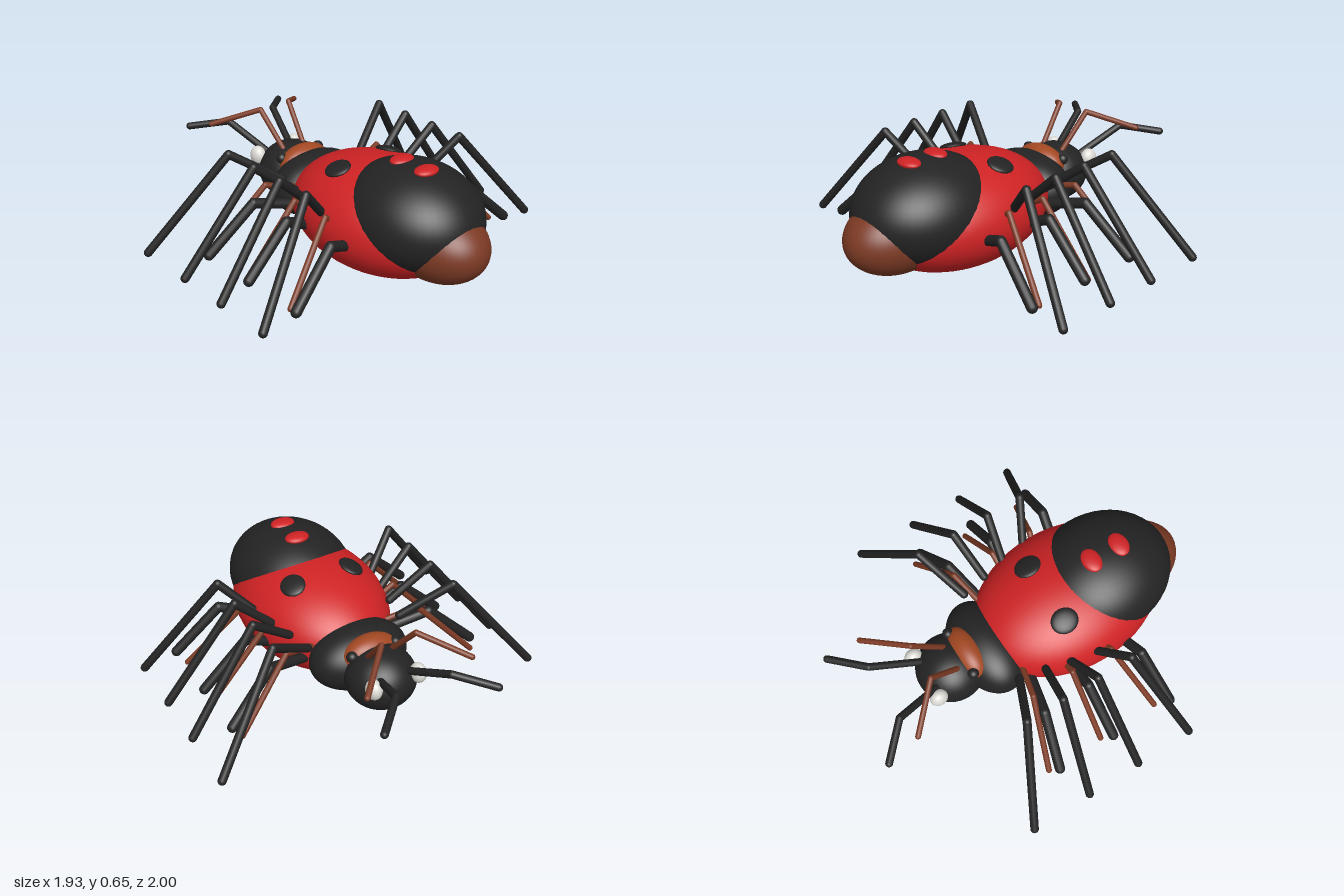
import * as THREE from 'three';

export function createModel() {
  const model = new THREE.Group();
  model.name = 'spottedBeetle';
  const mat = (name, color) => {
    const m = new THREE.MeshStandardMaterial({ color });
    m.name = name;
    return m;
  };
  const red = mat('red', 0xcf2224);
  const black = mat('black', 0x232323);
  const brown = mat('brown', 0x7c3a24);
  const rust = mat('rust', 0xa34822);
  const white = mat('white', 0xdedcd6);

  const ball = new THREE.SphereGeometry(1, 48, 32);
  const smallBall = new THREE.SphereGeometry(1, 24, 16);
  const up = new THREE.Vector3(0, 1, 0);

  function ellipsoid(name, material, center, radii, geometry = ball) {
    const mesh = new THREE.Mesh(geometry, material);
    mesh.name = name;
    mesh.position.set(...center);
    mesh.scale.set(...radii);
    model.add(mesh);
    return mesh;
  }

  // Jointed limb: one rounded capsule between each pair of points
  function limb(name, material, radius, points) {
    const group = new THREE.Group();
    group.name = name;
    const pts = points.map((p) => new THREE.Vector3(...p));
    for (let i = 0; i < pts.length - 1; i++) {
      const dir = pts[i + 1].clone().sub(pts[i]);
      const mesh = new THREE.Mesh(new THREE.CapsuleGeometry(radius, dir.length(), 6, 14), material);
      mesh.name = name + 'Segment';
      mesh.position.copy(pts[i]).addScaledVector(dir, 0.5);
      mesh.quaternion.setFromUnitVectors(up, dir.normalize());
      group.add(mesh);
    }
    model.add(group);
  }

  // Body, from the rear (+z) to the head (-z)
  ellipsoid('abdomenTip', brown, [0, 0.28, 0.7], [0.22, 0.2, 0.3]);
  ellipsoid('abdomenBack', black, [0, 0.36, 0.52], [0.34, 0.28, 0.4]);
  ellipsoid('abdomen', red, [0, 0.29, 0.3], [0.4, 0.29, 0.55]);
  ellipsoid('thorax', black, [0, 0.27, -0.22], [0.28, 0.18, 0.19]);
  ellipsoid('head', black, [0, 0.275, -0.44], [0.19, 0.165, 0.19]);
  ellipsoid('collar', rust, [0, 0.36, -0.333], [0.155, 0.1, 0.09]);

  // Red spots along the top
  for (const z of [0.44, 0.61]) {
    ellipsoid('redSpot', red, [0, 0.631, z], [0.07, 0.023, 0.052], smallBall);
  }

  for (const s of [-1, 1]) {
    const mirror = (points) => points.map(([x, y, z]) => [s * x, y, z]);

    // Black spot lying on the red shell
    const spot = ellipsoid('blackSpot', black, [s * 0.18, 0.54, 0.16], [0.068, 0.02, 0.075], smallBall);
    const normal = new THREE.Vector3((s * 0.18) / 0.16, 0.25 / 0.0841, -0.14 / 0.3025).normalize();
    spot.quaternion.setFromUnitVectors(up, normal);

    // Eyes and the small dark bumps beside the collar
    ellipsoid('eye', white, [s * 0.132, 0.345, -0.585], [0.042, 0.056, 0.05], smallBall);
    ellipsoid('collarBump', black, [s * 0.13, 0.4, -0.37], [0.03, 0.03, 0.03], smallBall);

    // Antennae
    limb('antenna', black, 0.02, mirror([[0.08, 0.36, -0.56], [0.16, 0.49, -0.82], [0.325, 0.455, -0.98]]));
    limb('feeler', brown, 0.015, mirror([[0.07, 0.42, -0.43], [0.1, 0.615, -0.59], [0.3, 0.52, -0.79]]));

    // Long legs: hip x, hip z, knee z, foot z
    for (const [x, hz, kz, fz] of [
      [0.28, -0.18, -0.295, -0.5],
      [0.31, -0.035, -0.08, -0.15],
      [0.34, 0.1, 0.13, 0.165],
      [0.37, 0.25, 0.335, 0.5],
    ]) {
      limb('longLeg', black, 0.023, mirror([[x, 0.39, hz], [0.535, 0.57, kz], [0.94, 0.05, fz]]));
    }

    // Short legs
    for (const [x, hz, kz, fz] of [
      [0.26, -0.1, -0.155, -0.215],
      [0.36, 0.12, 0.12, 0.13],
      [0.34, 0.43, 0.46, 0.505],
    ]) {
      limb('shortLeg', black, 0.028, mirror([[x, 0.265, hz], [0.49, 0.325, kz], [0.745, 0.083, fz]]));
    }

    // Thin brown legs
    for (const [x, hz, kz, fz] of [
      [0.2, -0.12, -0.17, -0.265],
      [0.31, 0.08, 0.075, 0.07],
      [0.32, 0.29, 0.315, 0.425],
    ]) {
      limb('thinLeg', brown, 0.016, mirror([[x, 0.34, hz], [0.4, 0.395, kz], [0.715, 0.05, fz]]));
    }
  }
  return model;
}
